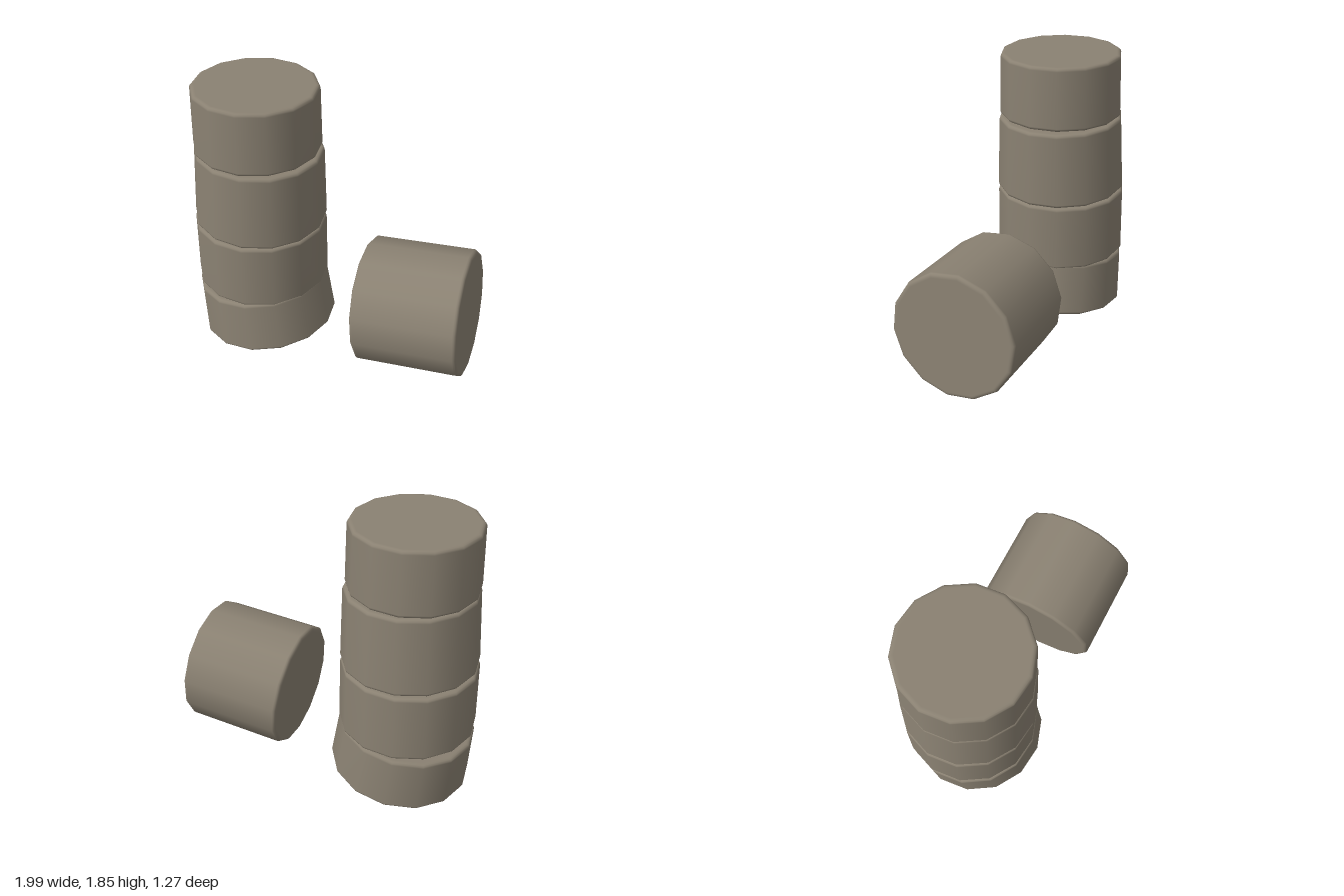
import * as THREE from 'three';

const SIDES = 14;
const BEVEL = 0.022;

// Closed drum profile from bottom centre to top centre, with rounded rims
function drumProfile(rBottom, rTop, height) {
  const pts = [new THREE.Vector2(0, 0), new THREE.Vector2(rBottom - BEVEL - 0.008, 0)];
  const steps = 3;
  for (let i = 0; i <= steps; i++) {
    const a = (i / steps) * Math.PI / 2;
    pts.push(new THREE.Vector2(rBottom - BEVEL + BEVEL * Math.sin(a), BEVEL * (1 - Math.cos(a))));
  }
  for (let i = 0; i <= steps; i++) {
    const a = (i / steps) * Math.PI / 2;
    pts.push(new THREE.Vector2(rTop - BEVEL + BEVEL * Math.cos(a), height - BEVEL * (1 - Math.sin(a))));
  }
  pts.push(new THREE.Vector2(rTop - BEVEL - 0.008, height), new THREE.Vector2(0, height));
  return pts;
}

export function createModel() {
  const group = new THREE.Group();
  const stone = new THREE.MeshStandardMaterial({ color: 0x8a8172 });

  // Places a drum between two end centres; cornerDir is where one polygon corner points
  function addDrum(name, from, to, rBottom, rTop, cornerDir) {
    const start = new THREE.Vector3(...from);
    const axis = new THREE.Vector3(...to).sub(start);
    const height = axis.length();
    axis.normalize();
    const corner = new THREE.Vector3(...cornerDir).projectOnPlane(axis).normalize();
    const side = new THREE.Vector3().crossVectors(axis, corner);
    const mesh = new THREE.Mesh(new THREE.LatheGeometry(drumProfile(rBottom, rTop, height), SIDES), stone);
    mesh.name = name;
    mesh.position.copy(start);
    mesh.quaternion.setFromRotationMatrix(new THREE.Matrix4().makeBasis(side, axis, corner));
    group.add(mesh);
  }

  // Standing column: four slightly shifted and tilted drums, tapering upward
  const front = [0, 0, 1];
  addDrum('baseDrum', [-0.525, 0.052, 0.173], [-0.565, 0.422, 0.18], 0.465, 0.447, front);
  addDrum('lowerDrum', [-0.565, 0.437, 0.175], [-0.56, 0.895, 0.175], 0.446, 0.44, front);
  addDrum('middleDrum', [-0.557, 0.907, 0.175], [-0.54, 1.42, 0.175], 0.438, 0.418, front);
  addDrum('topDrum', [-0.546, 1.43, 0.18], [-0.541, 1.848, 0.181], 0.411, 0.402, front);

  // Fallen drum lying beside the column
  addDrum('fallenDrum', [0.208, 0.422, -0.025], [0.86, 0.475, -0.25], 0.422, 0.42, [0, 1, -0.09]);

  return group;
}
